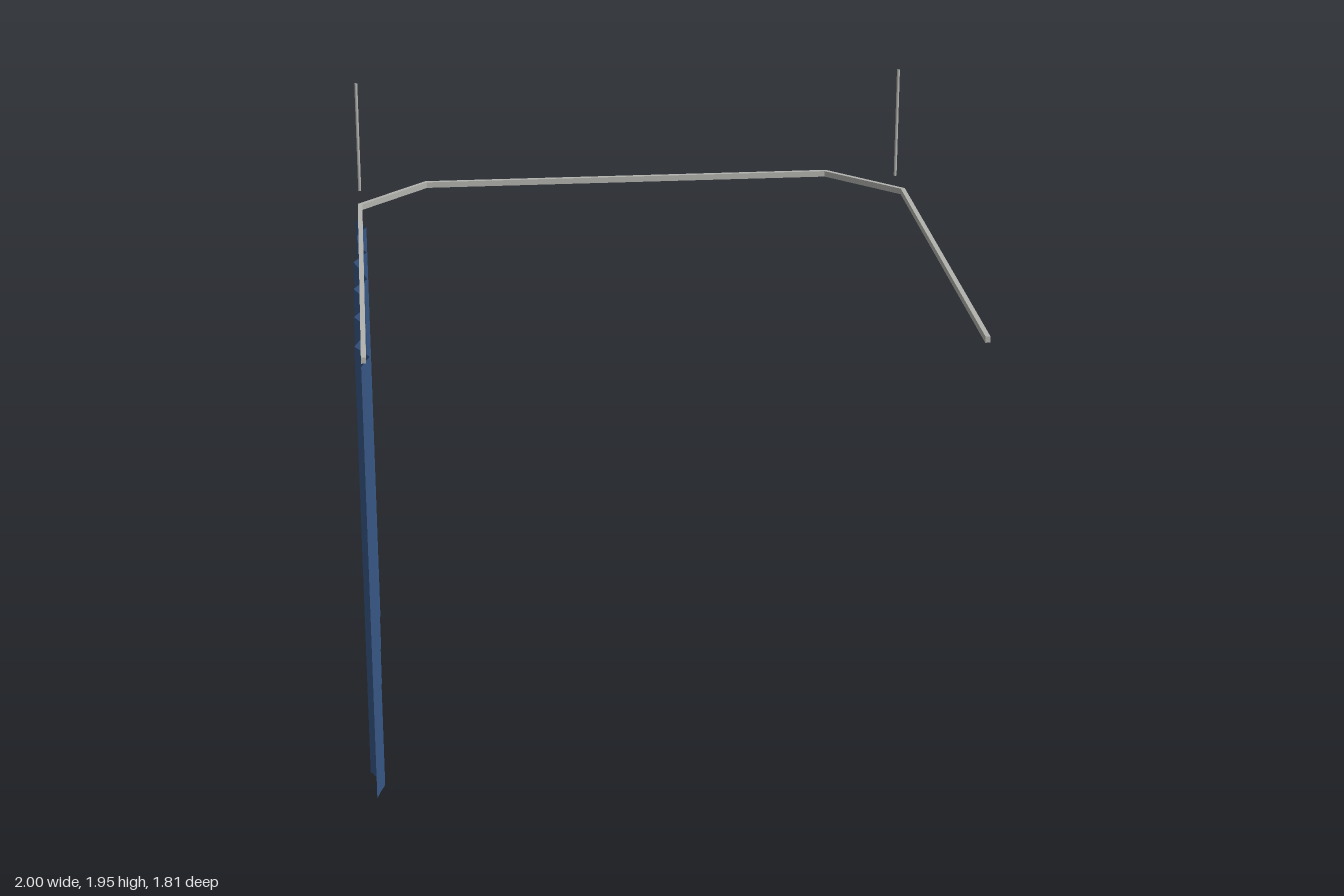
import * as THREE from 'three';
import { toCreasedNormals } from 'three/addons/utils/BufferGeometryUtils.js';

const LEFT = 0.99, RIGHT = -0.972, BACK = -0.896, FRONT = 0.903;
const RAIL_TOP = 1.548, RAIL_HEIGHT = 0.021, RAIL_HALF = 0.008;

// Flat mitred strip along the rail path, extruded downwards
function railGeometry() {
  const outline = (d) => {
    const m = d * Math.tan(Math.PI / 8); // mitre shift at the 45 degree corners
    return [
      [RIGHT - d, FRONT], [RIGHT - d, -0.652 - m], [-0.73 - m, BACK - d],
      [0.742 + m, BACK - d], [LEFT + d, -0.652 - m], [LEFT + d, FRONT],
    ];
  };
  const points = [...outline(RAIL_HALF), ...outline(-RAIL_HALF).reverse()];
  const shape = new THREE.Shape(points.map(([x, z]) => new THREE.Vector2(x, z)));
  const geometry = new THREE.ExtrudeGeometry(shape, { depth: RAIL_HEIGHT, bevelEnabled: false });
  return geometry.rotateX(Math.PI / 2).translate(0, RAIL_TOP, 0);
}

// Single hanging sheet whose plan follows the fold profile
function curtainGeometry() {
  const folds = [ // z, x
    [-0.567, -0.99], [-0.54, -0.975], [-0.48, -0.952], [-0.43, -0.975], [-0.385, -0.986],
    [-0.32, -0.984], [-0.25, -0.97], [-0.205, -0.953], [-0.165, -0.972], [-0.105, -0.999],
    [-0.05, -0.984], [0.02, -0.966], [0.075, -0.954], [0.115, -0.975], [0.17, -1.0],
    [0.22, -0.982], [0.27, -0.967], [0.33, -0.961], [0.38, -0.972], [0.445, -1.0],
    [0.49, -0.981], [0.54, -0.962], [0.6, -0.965], [0.65, -0.978], [0.72, -1.0],
    [0.765, -0.977], [0.815, -0.953], [0.86, -0.968], [0.905, -0.98],
  ];
  const n = folds.length;
  const geometry = new THREE.PlaneGeometry(1, 1, n - 1, 1);
  const position = geometry.attributes.position;
  for (let i = 0; i < position.count; i++) {
    const [z, x] = folds[n - 1 - (i % n)];
    position.setXYZ(i, x, i < n ? 1.516 : 0, z);
  }
  return toCreasedNormals(geometry, THREE.MathUtils.degToRad(32));
}

export function createModel() {
  const model = new THREE.Group();
  model.name = 'curtainTrack';

  const metal = new THREE.MeshStandardMaterial({ color: 0xb2b2ae });
  metal.name = 'brushedMetal';
  const fabric = new THREE.MeshStandardMaterial({ color: 0x395988, side: THREE.DoubleSide });
  fabric.name = 'blueFabric';

  const add = (name, geometry, material) => {
    const mesh = new THREE.Mesh(geometry, material);
    mesh.name = name;
    model.add(mesh);
    return mesh;
  };

  add('rail', railGeometry(), metal);
  add('curtain', curtainGeometry(), fabric);

  // Ceiling hangers near the back corners
  const hanger = new THREE.CylinderGeometry(0.0055, 0.0055, 0.4, 12);
  for (const [name, x] of [['leftHanger', LEFT], ['rightHanger', RIGHT]]) {
    add(name, hanger, metal).position.set(x, 1.747, -0.814);
  }
  return model;
}
